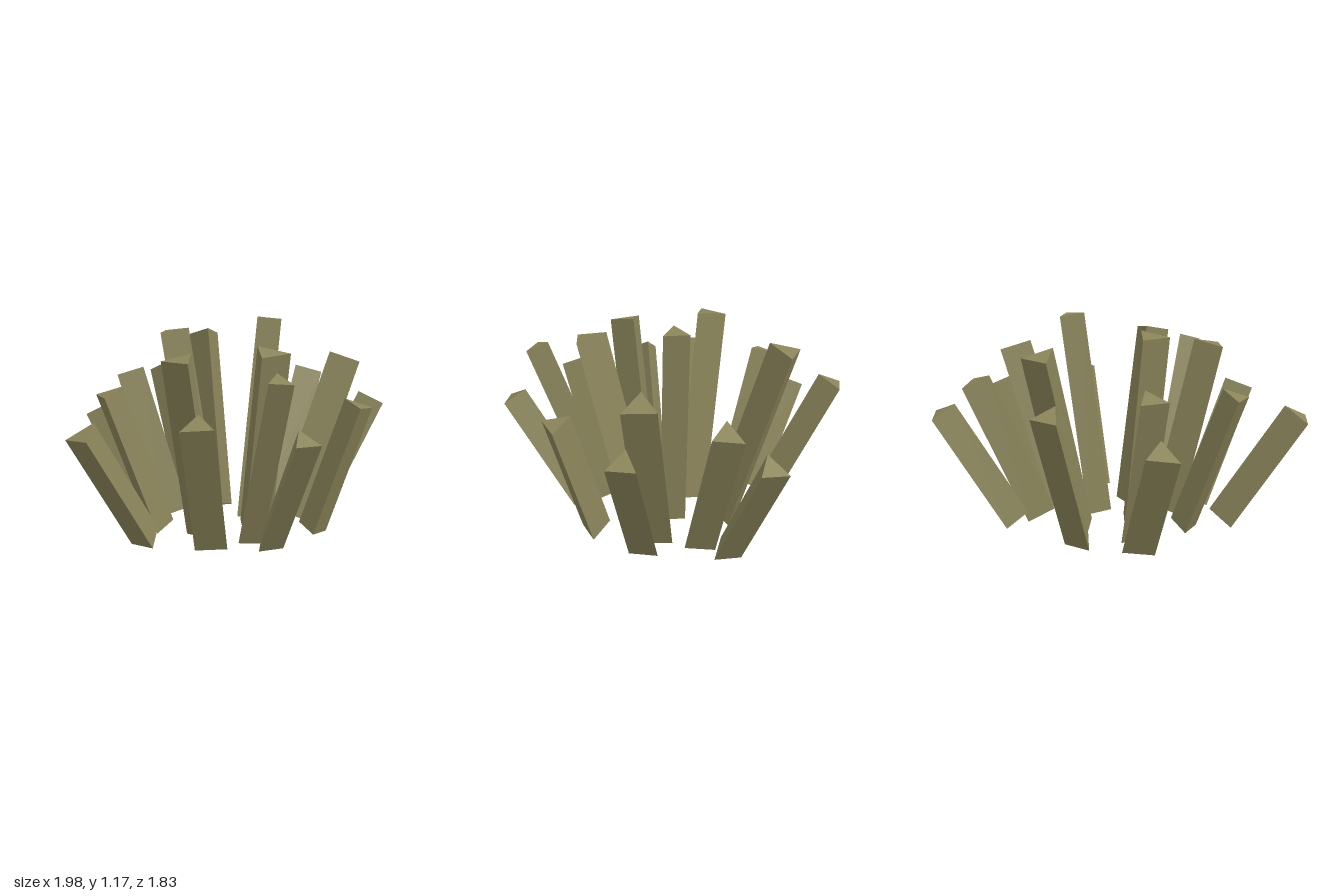
import * as THREE from 'three';

// One shard per row: base x, z | top x, y, z | radius | corner angle in degrees
const SHARDS = [
  // left and front-left
  [0.405, 0.09, 0.725, 0.955, 0.19, 0.104, 21],
  [0.52, 0.16, 0.855, 0.715, 0.285, 0.09, 13],
  [0.295, 0.415, 0.44, 0.755, 0.605, 0.09, 80],
  // front
  [0.045, 0.195, -0.03, 1.05, 0.425, 0.108, 58],
  [-0.10, 0.35, -0.20, 0.95, 0.70, 0.075, 32],
  [-0.08, 0.48, -0.16, 0.67, 0.845, 0.082, 47],
  // right
  [-0.31, 0.295, -0.535, 0.735, 0.48, 0.098, 19],
  [-0.21, 0.105, -0.425, 1.02, 0.185, 0.1, 107],
  [-0.535, 0.03, -0.93, 0.67, 0.055, 0.095, 100],
  [-0.34, -0.14, -0.62, 0.82, -0.205, 0.085, 76],
  // back
  [-0.05, -0.135, -0.173, 1.125, -0.25, 0.097, 46],
  [-0.095, -0.355, -0.245, 0.87, -0.575, 0.09, 35],
  [-0.16, -0.50, -0.335, 0.645, -0.75, 0.1, 18],
  [0.15, -0.50, 0.20, 0.835, -0.88, 0.085, 105],
  [0.205, -0.31, 0.32, 1.065, -0.60, 0.1, 94],
  // back-left
  [0.60, -0.26, 0.94, 0.70, -0.425, 0.088, 43],
  [0.49, -0.135, 0.82, 0.83, -0.225, 0.095, 28],
  [0.185, -0.015, 0.33, 1.185, -0.02, 0.08, 32],
];
const BASE_Y = 0.055;
const UP = new THREE.Vector3(0, 1, 0);

// Three-sided prism running from base to top, capped square to its axis
function makeShard([bx, bz, tx, ty, tz, radius, angle], material) {
  const base = new THREE.Vector3(bx, BASE_Y, bz);
  const top = new THREE.Vector3(tx, ty, tz);
  const axis = top.clone().sub(base);
  const geometry = new THREE.CylinderGeometry(
    radius, radius, axis.length(), 3, 1, false, THREE.MathUtils.degToRad(angle));
  const shard = new THREE.Mesh(geometry, material);
  shard.position.copy(base).add(top).multiplyScalar(0.5);
  shard.quaternion.setFromUnitVectors(UP, axis.normalize());
  return shard;
}

export function createModel() {
  const olive = new THREE.MeshStandardMaterial({ color: 0x8a845a, flatShading: true });
  olive.name = 'olive';

  // Tuft of shards leaning outward from the middle
  const tuft = new THREE.Group();
  tuft.name = 'grassTuft';
  SHARDS.forEach((row, i) => {
    const shard = makeShard(row, olive);
    shard.name = `blade${i + 1}`;
    tuft.add(shard);
  });
  return tuft;
}
